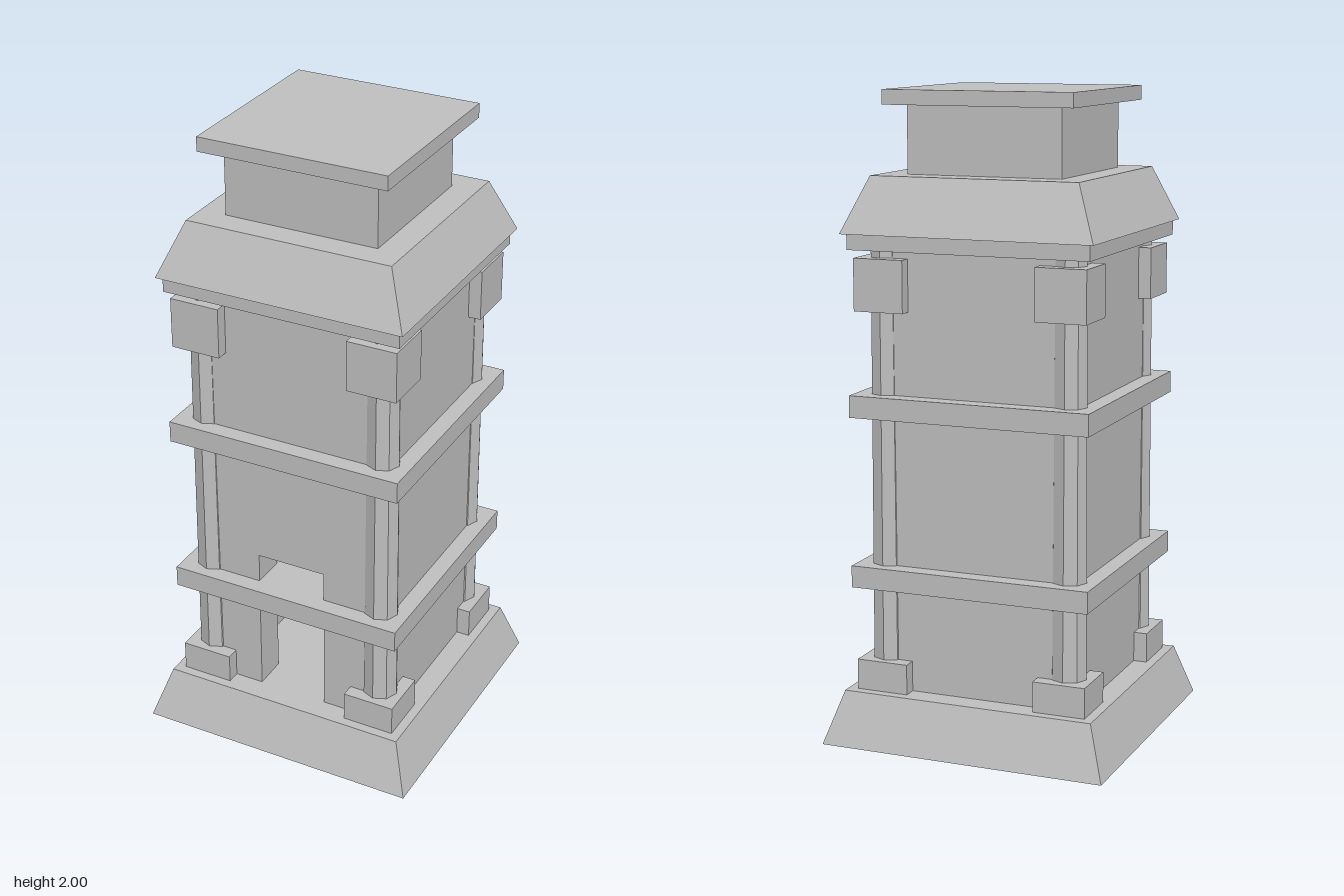
import * as THREE from 'three';

export function createModel() {
  const tower = new THREE.Group();
  tower.name = 'tower';
  const stone = new THREE.MeshStandardMaterial({ color: 0xc0c0c0 });
  stone.name = 'stone grey';

  const add = (name, geometry, x = 0, y = 0, z = 0) => {
    const mesh = new THREE.Mesh(geometry, stone);
    mesh.name = name;
    mesh.position.set(x, y, z);
    tower.add(mesh);
    return mesh;
  };
  // Box given by its half widths and its bottom and top heights
  const block = (name, hx, hz, y0, y1, x = 0, z = 0) =>
    add(name, new THREE.BoxGeometry(hx * 2, y1 - y0, hz * 2), x, (y0 + y1) / 2, z);
  // Square frustum given by half widths at the bottom and the top
  const frustum = (name, h0, h1, y0, y1) => {
    const g = new THREE.CylinderGeometry(h1 * Math.SQRT2, h0 * Math.SQRT2, y1 - y0, 4)
      .rotateY(Math.PI / 4).toNonIndexed();
    g.computeVertexNormals();
    add(name, g, 0, (y0 + y1) / 2);
  };

  const FLOOR = 0.165, TOP = 1.53, HALF = 0.33, WALL = 0.11;

  // Sloped plinth
  frustum('plinth', 0.457, 0.403, 0, FLOOR);

  // Front wall with the doorway cut through it
  const outline = new THREE.Shape([
    [-HALF, FLOOR], [-0.113, FLOOR], [-0.113, 0.655], [0.113, 0.655],
    [0.113, FLOOR], [HALF, FLOOR], [HALF, TOP], [-HALF, TOP],
  ].map(([x, y]) => new THREE.Vector2(x, y)));
  add('frontWall', new THREE.ExtrudeGeometry(outline, { depth: WALL, bevelEnabled: false }), 0, 0, HALF - WALL);

  // Remaining walls around the hollow room
  block('backWall', HALF, WALL / 2, FLOOR, TOP, 0, -HALF + WALL / 2);
  for (const s of [-1, 1]) {
    block(s > 0 ? 'leftWall' : 'rightWall', WALL / 2, HALF - WALL, FLOOR, TOP, s * (HALF - WALL / 2));
  }

  // Corner columns with footings and capitals
  const shaft = new THREE.CylinderGeometry(0.05, 0.056, TOP - FLOOR, 8).toNonIndexed();
  shaft.computeVertexNormals();
  for (const sx of [-1, 1]) {
    for (const sz of [-1, 1]) {
      add('column', shaft, sx * 0.295, (FLOOR + TOP) / 2, sz * 0.295);
      block('columnFooting', 0.083, 0.083, FLOOR, 0.26, sx * 0.29, sz * 0.29);
      block('columnCapital', 0.08, 0.08, 1.345, 1.505, sx * 0.29, sz * 0.29);
    }
  }

  // Storey bands and cornice
  block('lowerBand', 0.384, 0.384, 0.492, 0.56);
  block('upperBand', 0.384, 0.384, 1.022, 1.09);
  block('cornice', 0.384, 0.384, TOP, 1.578);

  // Sloped roof, neck and cap
  frustum('roof', 0.4, 0.33, 1.578, 1.748);
  block('neck', 0.246, 0.246, 1.748, 1.955);
  block('cap', 0.302, 0.302, 1.955, 2);

  return tower;
}
